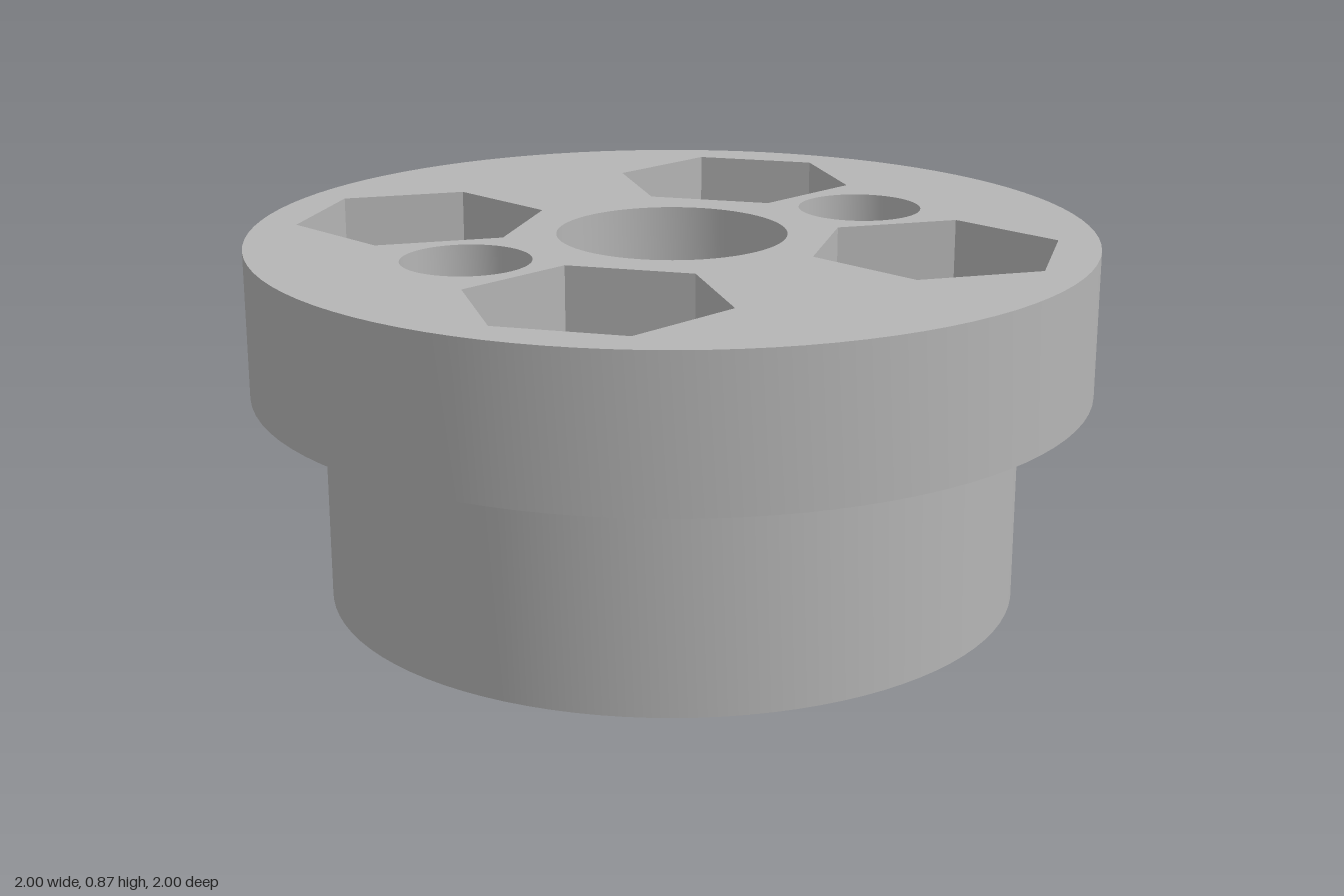
import * as THREE from 'three';
import { mergeGeometries, toCreasedNormals } from 'three/addons/utils/BufferGeometryUtils.js';

const H = 0.865, FLANGE_Y = 0.515, STEP_Y = 0.49;       // heights of the stepped body
const HOLE_R = 0.15, BOLT_R = 0.63, PIN_R = 0.537;      // holes and their pitch circles
const HEX_R = 0.301, HEX_FLOOR = 0.625, LAYER = 0.02;   // nut pockets
const RECESS_R = 0.363, RECESS_Y = 0.068, NUT_TOP = 0.4;
const TOP_BORE = 0.273, LOW_BORE = 0.257, WEB_TOP = 0.52, WEB_LOW = 0.42, WEB_R = 0.145;

// Outlines are lists of (x, z) points
const polar = (r, a, c = { x: 0, y: 0 }) => new THREE.Vector2(c.x + r * Math.cos(a), c.y + r * Math.sin(a));
const circle = (r, c, n = 72) => Array.from({ length: n }, (_, i) => polar(r, (i / n) * Math.PI * 2, c));
const rad = THREE.MathUtils.degToRad;
const hexagon = (c, phi) => [30, 90, 150, 210, 270, 330].map((d) => polar(HEX_R, phi + rad(d), c));

// Flat horizontal face
function face(outer, holes, y, up) {
  const flip = (pts) => pts.map((p) => new THREE.Vector2(p.x, up ? -p.y : p.y));
  const shape = new THREE.Shape(flip(outer));
  shape.holes = holes.map((h) => new THREE.Path(flip(h)));
  const g = new THREE.ShapeGeometry(shape);
  g.rotateX(up ? -Math.PI / 2 : Math.PI / 2).translate(0, y, 0);
  g.deleteAttribute('uv');
  return g.toNonIndexed();
}

// Vertical wall along a closed outline, facing outwards or into a hole
function wall(outline, y0, y1, inward = true) {
  const pts = inward ? [...outline].reverse() : outline;
  const pos = [];
  pts.forEach((p, i) => {
    const q = pts[(i + 1) % pts.length];
    const a = [p.x, y0, p.y], b = [q.x, y0, q.y], c = [q.x, y1, q.y], d = [p.x, y1, p.y];
    pos.push(...a, ...d, ...c, ...a, ...c, ...b);
  });
  const g = new THREE.BufferGeometry();
  g.setAttribute('position', new THREE.Float32BufferAttribute(pos, 3));
  g.computeVertexNormals();
  return toCreasedNormals(g, 0.4);
}

export function createModel() {
  const group = new THREE.Group();
  const grey = new THREE.MeshStandardMaterial({ color: 0xb5b5b5 });
  const add = (name, ...parts) => {
    const mesh = new THREE.Mesh(mergeGeometries(parts), grey);
    mesh.name = name;
    group.add(mesh);
  };

  const boltAngles = [0, 90, 180, 270].map(rad);
  const pinAngles = [-45, 135].map(rad);
  const boltHoles = boltAngles.map((a) => circle(HOLE_R, polar(BOLT_R, a)));
  const pinHoles = pinAngles.map((a) => circle(HOLE_R, polar(PIN_R, a)));
  const topHexes = boltAngles.map((a) => hexagon(polar(BOLT_R, a), a));
  const lowHexes = pinAngles.map((a) => hexagon(polar(PIN_R, a), a));

  // Wide flange, thin step and narrower hub
  const rim = circle(1, undefined, 96), step = circle(0.922, undefined, 96), hub = circle(0.83, undefined, 96);
  add('flange', wall(rim, FLANGE_Y, H, false), face(rim, [step], FLANGE_Y, false),
    face(rim, [...topHexes, ...pinHoles, circle(TOP_BORE)], H, true));
  add('flangeStep', wall(step, STEP_Y, FLANGE_Y, false), face(step, [hub], STEP_Y, false));

  // Bottom outline: round recess joined with both nut pockets
  const side = HEX_R / 2, apothem = HEX_R * Math.cos(Math.PI / 6), inner = PIN_R - apothem;
  const qa = apothem ** 2 + side ** 2, qb = inner * apothem + side ** 2;
  const qc = inner ** 2 + side ** 2 - RECESS_R ** 2;
  const s = (-qb + Math.sqrt(qb * qb - qa * qc)) / qa;
  const cut = Math.atan2(side * (1 + s), inner + apothem * s);
  const opening = [], recessFloor = [];
  pinAngles.forEach((a, i) => {
    const h = lowHexes[i];
    const from = polar(RECESS_R, a - cut), to = polar(RECESS_R, a + cut);
    const arc = Array.from({ length: 23 }, (_, k) =>
      polar(RECESS_R, a + cut + ((k + 1) / 24) * (Math.PI - 2 * cut)));
    opening.push(from, h[4], h[5], h[0], h[1], to, ...arc);
    recessFloor.push(from, h[3], h[2], to, ...arc);
  });
  const lowBore = circle(LOW_BORE);
  add('hub', wall(hub, 0, STEP_Y, false), face(hub, [opening, ...boltHoles], 0, false));
  add('bottomRecess', wall(opening, 0, RECESS_Y), face(recessFloor, [lowBore], RECESS_Y, false));

  // Central bore with a thin web between its two halves
  const topBore = circle(TOP_BORE), webHole = circle(WEB_R);
  add('centreBore', wall(topBore, WEB_TOP, H), face(topBore, [webHole], WEB_TOP, true),
    wall(webHole, WEB_LOW, WEB_TOP), face(lowBore, [webHole], WEB_LOW, false),
    wall(lowBore, RECESS_Y, WEB_LOW));

  // Upper nut pockets, stepping from hexagon to slot to square to round hole
  boltAngles.forEach((a, i) => {
    const h = topHexes[i], c = polar(BOLT_R, a);
    const slot = [h[0], h[1], h[3], h[4]];
    const dir = polar(1, a + rad(60)), across = polar(1, a + rad(150));
    const corner = (u, v) => c.clone().addScaledVector(dir, u * side).addScaledVector(across, v * side);
    const square = [corner(1, -1), corner(1, 1), corner(-1, 1), corner(-1, -1)];
    const y1 = HEX_FLOOR - LAYER, y2 = y1 - LAYER;
    add('upperNutPocket', wall(h, HEX_FLOOR, H),
      face([h[1], h[2], h[3]], [], HEX_FLOOR, true), face([h[4], h[5], h[0]], [], HEX_FLOOR, true),
      wall(slot, y1, HEX_FLOOR),
      face([h[0], h[1], square[1], square[0]], [], y1, true),
      face([h[3], h[4], square[3], square[2]], [], y1, true),
      wall(square, y2, y1), face(square, [boltHoles[i]], y2, true));
    add('boltHole', wall(boltHoles[i], 0, y2));
  });

  // Lower nut pockets with holes through to the top
  pinAngles.forEach((a, i) => {
    add('lowerNutPocket', wall(lowHexes[i], RECESS_Y, NUT_TOP), face(lowHexes[i], [pinHoles[i]], NUT_TOP, false));
    add('pinHole', wall(pinHoles[i], NUT_TOP, H));
  });
  return group;
}
